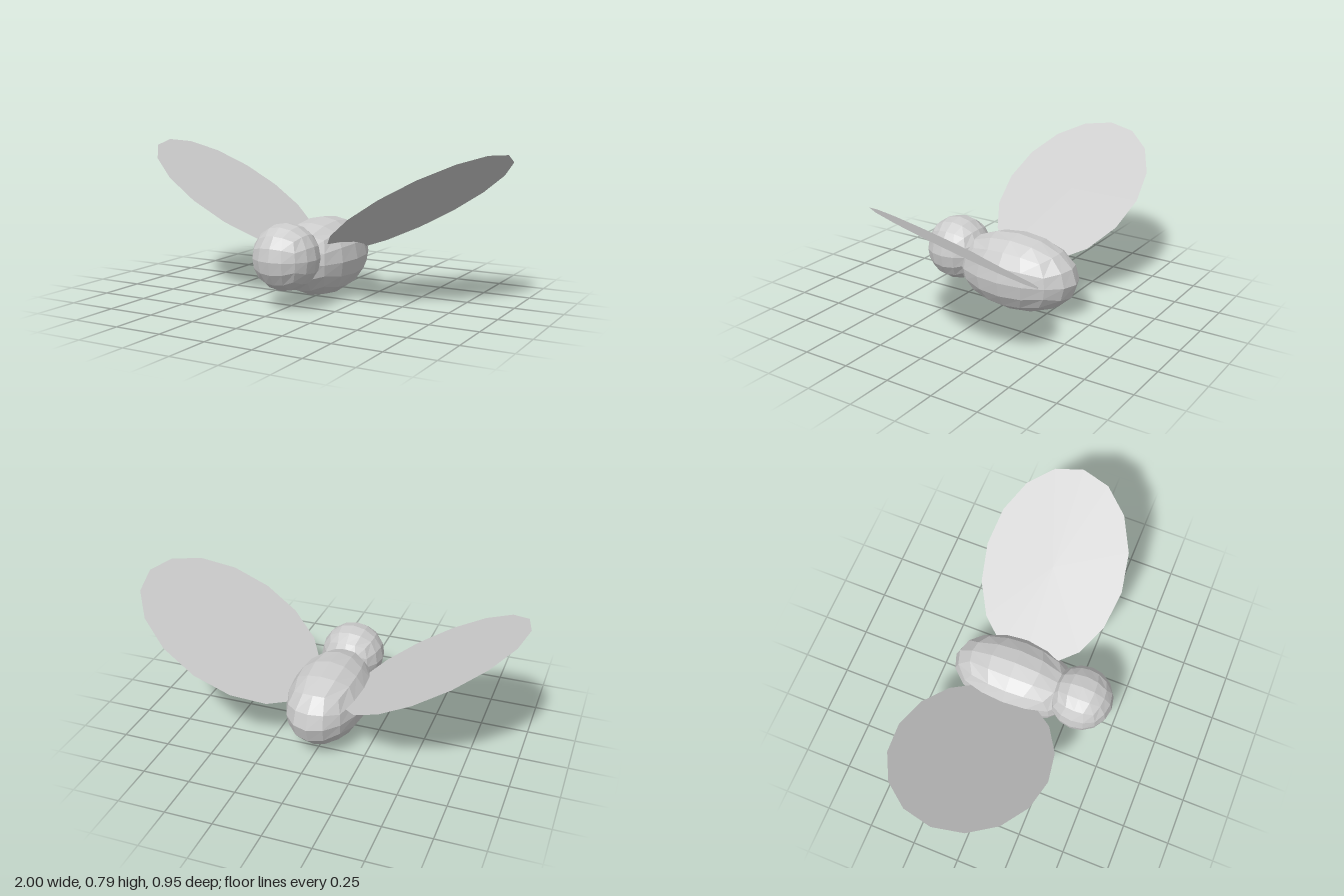
import * as THREE from 'three';

const solid = new THREE.MeshStandardMaterial({ color: 0xcccccc, flatShading: true });
const sheet = new THREE.MeshStandardMaterial({ color: 0xcccccc, flatShading: true, side: THREE.DoubleSide });

// Ball made from a subdivided cube, stretched to the given radii
function quadBall(name, radii, centre) {
  const geometry = new THREE.BoxGeometry(2, 2, 2, 4, 4, 4);
  const pos = geometry.attributes.position;
  const v = new THREE.Vector3();
  const bend = (t) => Math.tan(t * Math.PI / 4);
  for (let i = 0; i < pos.count; i++) {
    v.fromBufferAttribute(pos, i);
    v.set(bend(v.x), bend(v.y), bend(v.z)).normalize().multiply(radii);
    pos.setXYZ(i, v.x, v.y, v.z);
  }
  geometry.computeVertexNormals();
  const mesh = new THREE.Mesh(geometry, solid);
  mesh.name = name;
  mesh.position.copy(centre);
  return mesh;
}

// Flat oval wing spanned by two half-axes: root to tip, and across
function wing(name, centre, along, across) {
  const normal = new THREE.Vector3().crossVectors(along, across).normalize();
  const geometry = new THREE.CircleGeometry(1, 16);
  geometry.applyMatrix4(new THREE.Matrix4().makeBasis(along, across, normal));
  geometry.computeVertexNormals();
  const mesh = new THREE.Mesh(geometry, sheet);
  mesh.name = name;
  mesh.position.copy(centre);
  return mesh;
}

export function createModel() {
  const V = (x, y, z) => new THREE.Vector3(x, y, z);
  const group = new THREE.Group();
  group.name = 'flyingInsect';

  group.add(quadBall('body', V(0.206, 0.207, 0.35), V(0.003, 0.21, -0.072)));
  group.add(quadBall('head', V(0.172, 0.172, 0.172), V(0.003, 0.263, 0.303)));

  // The left wing is slightly twisted, the right one is level
  group.add(wing('leftWing', V(0.545, 0.512, -0.077), V(0.455, 0.272, -0.013), V(0.035, -0.072, -0.393)));
  group.add(wing('rightWing', V(-0.545, 0.512, -0.075), V(-0.455, 0.275, 0), V(0, 0, 0.4)));
  return group;
}
